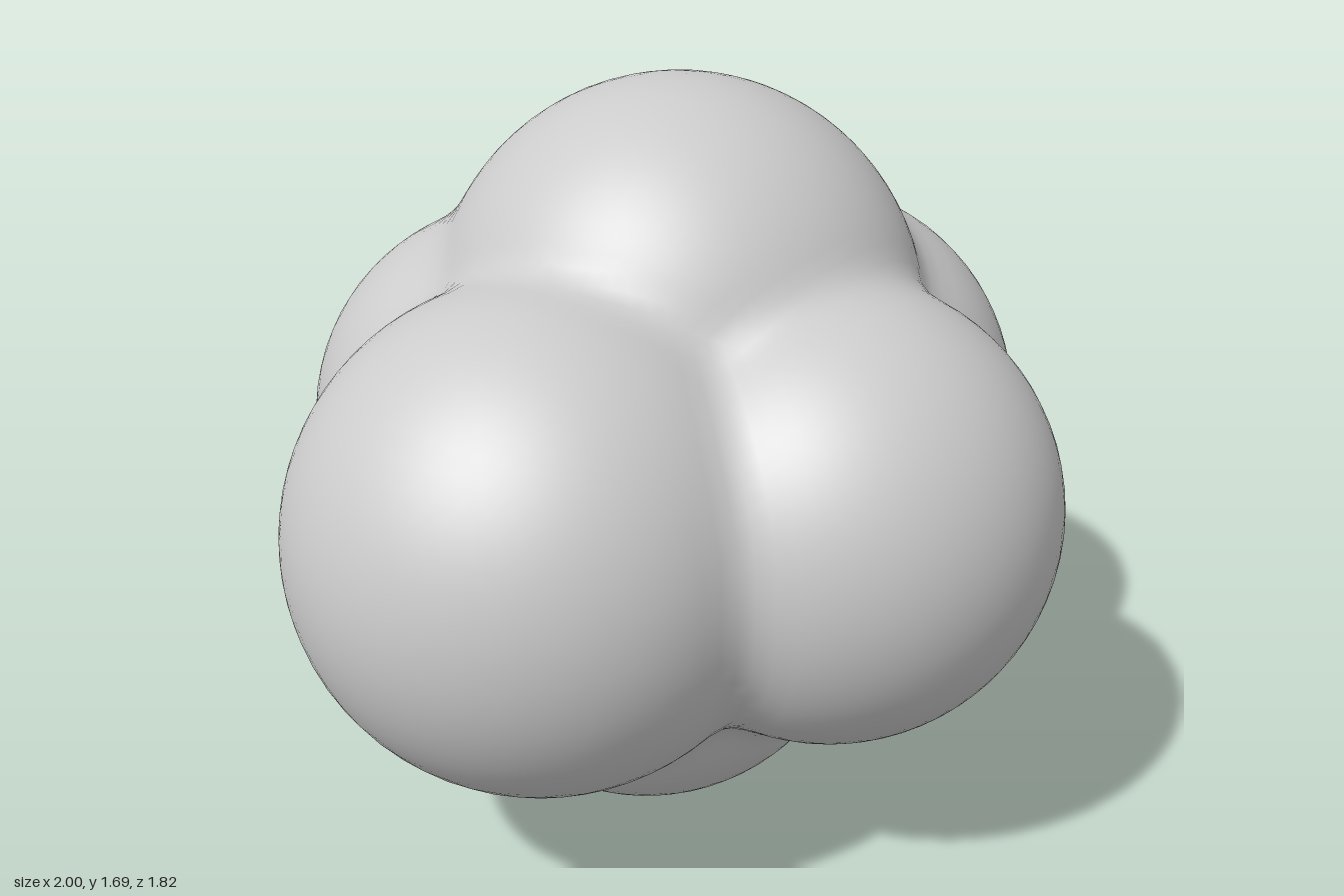
import * as THREE from 'three';
import { mergeVertices } from 'three/addons/utils/BufferGeometryUtils.js';

// Lobes of the cluster: centre and radius
const LOBES = [
  { c: [-0.45, 0.82, 0], r: 0.55 },       // right
  { c: [0.465, 0.83, -0.01], r: 0.535 },  // left
  { c: [0.1, 1.13, -0.08], r: 0.56 },     // top
  { c: [-0.03, 0.51, -0.07], r: 0.51 },   // bottom
  { c: [0.02, 0.83, 0.4], r: 0.51 },      // front
  { c: [-0.06, 0.86, -0.41], r: 0.505 },  // back
].map(({ c, r }) => ({ c: new THREE.Vector3(...c), r }));

const CORE = new THREE.Vector3(0, 0.83, 0); // lies inside every lobe
const BLEND = 0.07;

// Distance from the core to the far wall of a lobe along a direction
function reach(dir, { c, r }) {
  const o = c.clone().sub(CORE);
  const b = o.dot(dir);
  return b + Math.sqrt(Math.max(0, b * b - o.lengthSq() + r * r));
}

// Larger of two values with a small fillet where they meet
function smoothMax(a, b) {
  const h = Math.max(BLEND - Math.abs(a - b), 0) / BLEND;
  return Math.max(a, b) + h * h * BLEND / 4;
}

export function createModel() {
  const group = new THREE.Group();
  group.name = 'lobedCluster';

  // One welded skin: each vertex is pushed out to the outermost lobe
  let skin = new THREE.IcosahedronGeometry(1, 20);
  skin.deleteAttribute('uv');
  skin.deleteAttribute('normal');
  skin = mergeVertices(skin, 1e-4);
  const pos = skin.attributes.position;
  const dir = new THREE.Vector3();
  for (let i = 0; i < pos.count; i++) {
    dir.fromBufferAttribute(pos, i).normalize();
    const d = LOBES.map((lobe) => reach(dir, lobe)).sort((a, b) => a - b).reduce(smoothMax);
    dir.multiplyScalar(d).add(CORE);
    pos.setXYZ(i, dir.x, dir.y, dir.z);
  }
  skin.computeVertexNormals();

  const mesh = new THREE.Mesh(skin, new THREE.MeshStandardMaterial({ color: 0xcccccc }));
  mesh.name = 'blendedLobes';
  group.add(mesh);
  return group;
}
